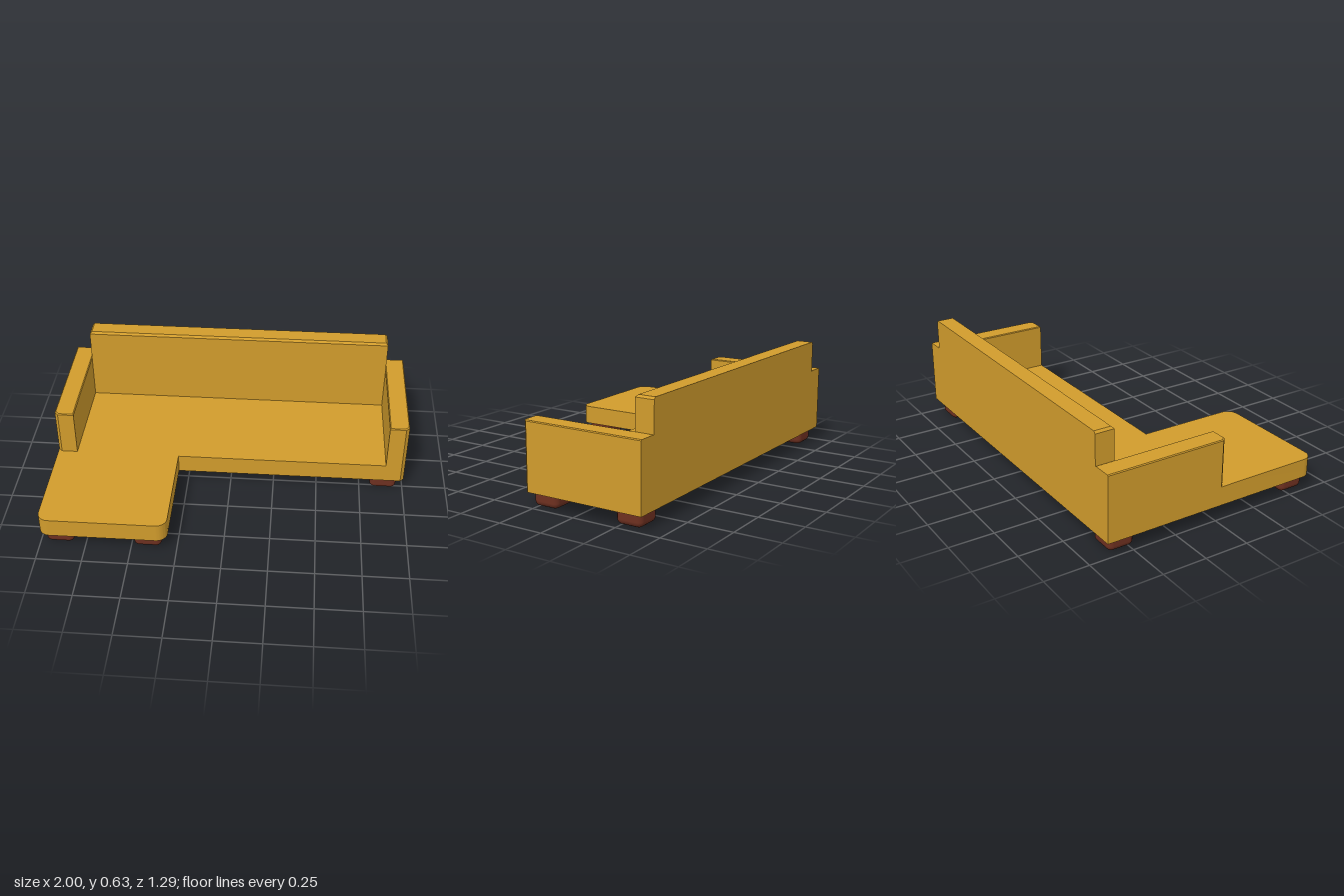
import * as THREE from 'three';
import { toCreasedNormals } from 'three/addons/utils/BufferGeometryUtils.js';
import { RoundedBoxGeometry } from 'three/addons/geometries/RoundedBoxGeometry.js';
import { ConvexGeometry } from 'three/addons/geometries/ConvexGeometry.js';

const BACK = -0.647, FRONT = 0.05, CHAISE = 0.647;
const FLOOR = 0.08, SEAT = 0.187;

// Upright block with a bevelled top; the rear face stays flat
function bevelledBlock(outline, y0, y1, bevel) {
  const xs = outline.map(p => p[0]);
  const cx = (Math.min(...xs) + Math.max(...xs)) / 2;
  const pts = [];
  for (const [x, z] of outline) {
    pts.push(new THREE.Vector3(x, y0, z), new THREE.Vector3(x, y1 - bevel, z));
    pts.push(new THREE.Vector3(x - Math.sign(x - cx) * bevel, y1, z > BACK ? z - bevel : z));
  }
  return new ConvexGeometry(pts);
}

export function createModel() {
  const group = new THREE.Group();
  const fabric = new THREE.MeshStandardMaterial({ color: 0xd19c2c });
  fabric.name = 'mustard fabric';
  const wood = new THREE.MeshStandardMaterial({ color: 0x6e3020 });
  wood.name = 'dark wood';

  const add = (name, geometry, material) => {
    const mesh = new THREE.Mesh(geometry, material);
    mesh.name = name;
    group.add(mesh);
    return mesh;
  };

  // L-shaped seat with a rounded chaise end (shape y is -z)
  const r = 0.06, inner = -0.3;
  const s = new THREE.Shape();
  s.moveTo(-1, -BACK);
  s.lineTo(-1, -CHAISE + r);
  s.absarc(-1 + r, -CHAISE + r, r, Math.PI, Math.PI * 1.5, false);
  s.lineTo(inner - r, -CHAISE);
  s.absarc(inner - r, -CHAISE + r, r, Math.PI * 1.5, Math.PI * 2, false);
  s.lineTo(inner, -FRONT);
  s.lineTo(0.98, -FRONT);
  s.lineTo(1, -FRONT + 0.02);
  s.lineTo(1, -BACK);
  s.closePath();
  const seat = new THREE.ExtrudeGeometry(s, { depth: SEAT - FLOOR, bevelEnabled: false, curveSegments: 8 });
  seat.rotateX(-Math.PI / 2).translate(0, FLOOR, 0);
  add('seat', toCreasedNormals(seat, 0.5), fabric);

  // Armrests, outer front corner chamfered
  for (const [name, side] of [['leftArm', 1], ['rightArm', -1]]) {
    const outline = [[0.89, BACK], [0.89, FRONT], [0.98, FRONT], [1, FRONT - 0.02], [1, BACK]];
    add(name, bevelledBlock(outline.map(([x, z]) => [x * side, z]), SEAT, 0.452, 0.005), fabric);
  }

  // Backrest
  const bz = -0.54;
  add('backrest', bevelledBlock([[-0.89, BACK], [-0.89, bz], [0.89, bz], [0.89, BACK]], SEAT, 0.63, 0.012), fabric);

  // Feet
  const feet = [[-0.89, 0.54], [-0.41, 0.54], [-0.387, -0.03], [0.885, -0.047], [0.885, -0.545], [-0.89, -0.545]];
  const foot = new RoundedBoxGeometry(0.152, 0.12, 0.148, 3, 0.03);
  for (const [x, z] of feet) add('foot', foot, wood).position.set(x, 0.06, z);

  return group;
}
